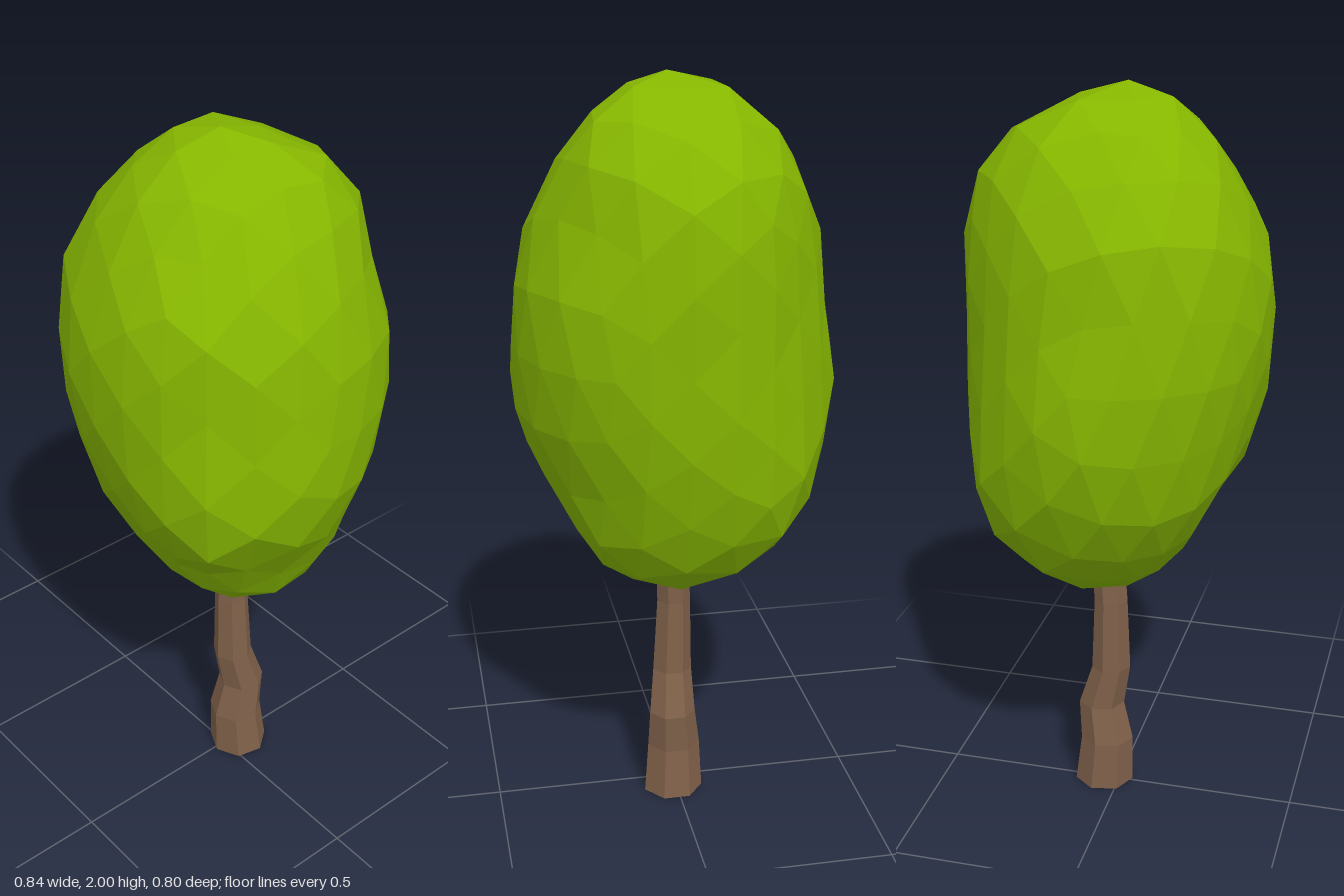
import * as THREE from 'three';

// Crown rows, bottom to top: height, then the reach in eight directions,
// starting at +x and turning by 45 degrees towards +z
const CROWN = [
  [0.635, 0.03, 0.02, 0.00, 0.00, 0.00, 0.05, 0.10, 0.06],
  [0.68, 0.17, 0.13, 0.09, 0.11, 0.14, 0.20, 0.18, 0.18],
  [0.78, 0.25, 0.20, 0.19, 0.21, 0.24, 0.33, 0.28, 0.29],
  [0.88, 0.28, 0.25, 0.23, 0.28, 0.33, 0.375, 0.32, 0.31],
  [0.96, 0.34, 0.35, 0.26, 0.33, 0.365, 0.40, 0.35, 0.325],
  [1.05, 0.39, 0.41, 0.33, 0.35, 0.40, 0.405, 0.37, 0.365],
  [1.23, 0.425, 0.425, 0.37, 0.39, 0.43, 0.39, 0.395, 0.40],
  [1.37, 0.405, 0.39, 0.395, 0.41, 0.40, 0.375, 0.385, 0.42],
  [1.50, 0.40, 0.395, 0.395, 0.405, 0.375, 0.375, 0.40, 0.405],
  [1.65, 0.36, 0.38, 0.355, 0.39, 0.37, 0.36, 0.395, 0.35],
  [1.76, 0.31, 0.29, 0.305, 0.34, 0.315, 0.34, 0.37, 0.33],
  [1.86, 0.24, 0.22, 0.25, 0.26, 0.24, 0.295, 0.295, 0.30],
  [1.94, 0.17, 0.17, 0.17, 0.18, 0.17, 0.23, 0.16, 0.21],
  [2.00, 0.05, 0.05, 0.09, 0.08, 0.06, 0.06, 0.02, 0.04],
];

// Trunk rings, bottom to top: height, centre x, centre z, radius
const TRUNK = [
  [0, 0.01, -0.046, 0.084],
  [0.14, 0.007, -0.037, 0.075],
  [0.25, 0.013, -0.054, 0.065],
  [0.37, 0.008, -0.025, 0.055],
  [0.58, 0.003, -0.024, 0.047],
  [0.72, 0.009, -0.034, 0.046],
];

// Reach of the crown at a height and angle, interpolated between rows and directions
function crownReach(y, angle) {
  let i = 0;
  while (i < CROWN.length - 2 && y > CROWN[i + 1][0]) i++;
  const t = THREE.MathUtils.clamp((y - CROWN[i][0]) / (CROWN[i + 1][0] - CROWN[i][0]), 0, 1);
  const turn = ((angle / (Math.PI / 4)) % 8 + 8) % 8;
  const k = Math.floor(turn) % 8;
  const at = (d) => THREE.MathUtils.lerp(CROWN[i][1 + d % 8], CROWN[i + 1][1 + d % 8], t);
  return THREE.MathUtils.lerp(at(k), at(k + 1), turn - Math.floor(turn));
}

// Replaces every vertex by the result of a rule
function reshape(geometry, rule) {
  const p = geometry.attributes.position;
  for (let i = 0; i < p.count; i++) p.setXYZ(i, ...rule(p.getX(i), p.getY(i), p.getZ(i)));
  geometry.computeVertexNormals();
  return geometry;
}

function part(name, geometry, color) {
  const mesh = new THREE.Mesh(geometry, new THREE.MeshStandardMaterial({ color, flatShading: true }));
  mesh.name = name;
  return mesh;
}

export function createModel() {
  const tree = new THREE.Group();
  tree.name = 'tree';

  // Crooked seven-sided trunk
  const last = TRUNK.length - 1;
  const trunk = reshape(new THREE.CylinderGeometry(1, 1, 1, 7, last), (x, v, z) => {
    const [y, cx, cz, r] = TRUNK[Math.round((v + 0.5) * last)];
    return [cx + x * r, y, cz + z * r];
  });
  tree.add(part('trunk', trunk, 0x80614a));

  // Faceted, lumpy egg-shaped crown; the two poles close on the axis
  const crown = reshape(new THREE.IcosahedronGeometry(1, 3).rotateY(0.5), (x, v, z) => {
    const y = 1.3175 + 0.6825 * v;
    if (Math.hypot(x, z) < 1e-4) return [0.01, y, v > 0 ? 0.02 : -0.05];
    const angle = Math.atan2(z, x);
    const r = 1.02 * crownReach(y, angle);
    return [r * Math.cos(angle), y, r * Math.sin(angle)];
  });
  tree.add(part('crown', crown, 0x86b600));

  return tree;
}
